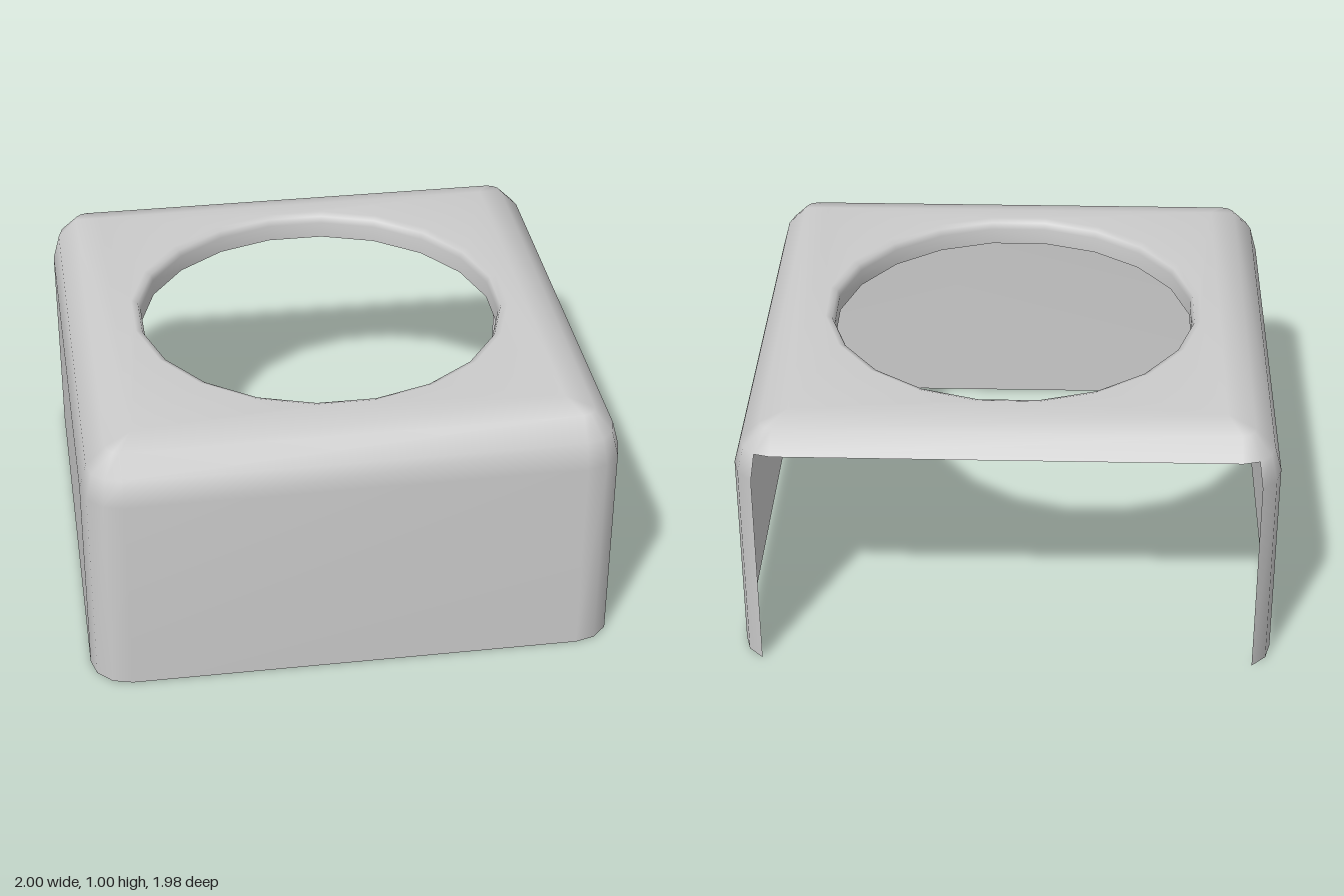
import * as THREE from 'three';
import { mergeGeometries, mergeVertices } from 'three/addons/utils/BufferGeometryUtils.js';

const CORNER = 0.15;   // vertical corner radius
const BEVEL = 0.2;     // roof edge radius
const STEPS = 3;       // segments per rounded quarter
const HOLE_SIDES = 20;

// Rounded-square outline, running from the back of the left side round the front
function outline(inset) {
  const r = Math.max(CORNER - inset, 0);
  const c = 1 - inset - r;
  const points = [];
  [[1, -1], [1, 1], [-1, 1], [-1, -1]].forEach(([sx, sz], k) => {
    for (let i = 0; i <= STEPS; i++) {
      const a = (k - 1 + i / STEPS) * Math.PI / 2;
      points.push([sx * c + r * Math.cos(a), sz * c + r * Math.sin(a)]);
    }
  });
  return points;
}

// Walls and rounded roof edge; the back is left open below the bevel
function wallGeometry() {
  const rings = [[0, 0]];
  for (let i = 0; i <= STEPS; i++) {
    const a = i / STEPS * Math.PI / 2;
    rings.push([BEVEL * (1 - Math.cos(a)), 1 - BEVEL + BEVEL * Math.sin(a)]);
  }
  const positions = [], index = [];
  for (const [inset, y] of rings) {
    for (const [x, z] of outline(inset)) positions.push(x, y, z);
  }
  const n = 4 * (STEPS + 1);
  for (let i = 0; i < rings.length - 1; i++) {
    for (let j = 0; j < n; j++) {
      const backOpening = i < 2 && (j === 0 || j >= n - 2);
      if (backOpening) continue;
      const a = i * n + j, b = i * n + (j + 1) % n;
      index.push(a, a + n, b, b, a + n, b + n);
    }
  }
  const g = new THREE.BufferGeometry();
  g.setAttribute('position', new THREE.Float32BufferAttribute(positions, 3));
  g.setIndex(index);
  return g;
}

// Flat roof with a round hole
function roofGeometry(holeRadius) {
  const s = 1 - BEVEL;
  const shape = new THREE.Shape([[-s, -s], [s, -s], [s, s], [-s, s]].map(p => new THREE.Vector2(...p)));
  const hole = [];
  for (let k = 0; k < HOLE_SIDES; k++) {
    const a = (k + 0.5) / HOLE_SIDES * Math.PI * 2;
    hole.push(new THREE.Vector2(holeRadius * Math.sin(a), holeRadius * Math.cos(a)));
  }
  shape.holes.push(new THREE.Path(hole));
  return new THREE.ShapeGeometry(shape).rotateX(-Math.PI / 2).translate(0, 1, 0);
}

// Lip turning down into the hole
function lipGeometry() {
  const profile = [[0.735, 1], [0.71, 0.99], [0.7, 0.965], [0.7, 0.9]].map(p => new THREE.Vector2(...p));
  return new THREE.LatheGeometry(profile, HOLE_SIDES, Math.PI / HOLE_SIDES);
}

export function createModel() {
  const group = new THREE.Group();
  group.name = 'openBackHousing';

  // Weld the surfaces so that shading runs smoothly across them
  const parts = [wallGeometry(), roofGeometry(0.735), lipGeometry()];
  for (const g of parts) {
    g.deleteAttribute('normal');
    g.deleteAttribute('uv');
  }
  const geometry = mergeVertices(mergeGeometries(parts), 1e-3);
  geometry.computeVertexNormals();

  const shell = new THREE.Mesh(geometry, new THREE.MeshStandardMaterial({ color: 0xcccccc, side: THREE.DoubleSide }));
  shell.name = 'shell';
  shell.position.z = -0.01;
  group.add(shell);
  return group;
}
